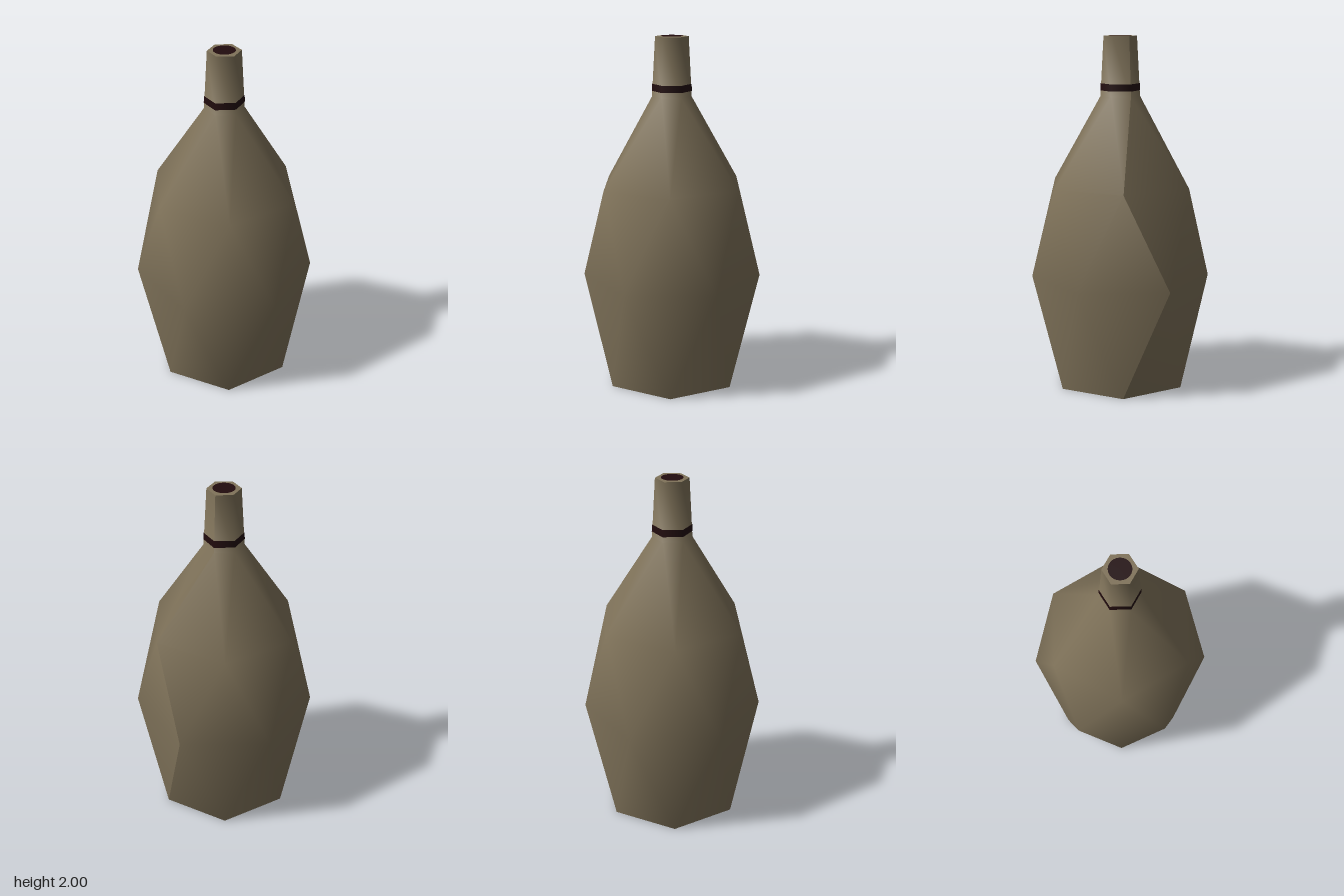
import * as THREE from 'three';

const SIDES = 6;

// Rings of the bottle from base to lip: height, radius, angle of the first corner.
// Corners of neighbouring body rings are offset by half a side.
const RINGS = [
  { y: 0, r: 0.39, turn: 30 },
  { y: 0.62, r: 0.51, turn: 60 },
  { y: 1.16, r: 0.433, turn: 30 },
  { y: 1.66, r: 0.112, turn: 60 },
  { y: 1.998, r: 0.094, turn: 60 },
];

// Faceted shell with smooth normals and one open seam
function shellGeometry() {
  const positions = [];
  const index = [];
  for (const { y, r, turn } of RINGS) {
    for (let j = 0; j <= SIDES; j++) {
      const a = THREE.MathUtils.degToRad(turn + (j * 360) / SIDES);
      positions.push(r * Math.cos(a), y, -r * Math.sin(a));
    }
  }
  const row = SIDES + 1;
  for (let i = 0; i < RINGS.length - 1; i++) {
    const leansForward = RINGS[i + 1].turn >= RINGS[i].turn;
    for (let j = 0; j < SIDES; j++) {
      const a = i * row + j, b = a + 1, c = a + row, d = c + 1;
      // always split along the shorter diagonal
      if (leansForward) index.push(a, b, c, b, d, c);
      else index.push(a, b, d, a, d, c);
    }
  }
  const geometry = new THREE.BufferGeometry();
  geometry.setAttribute('position', new THREE.Float32BufferAttribute(positions, 3));
  geometry.setIndex(index);
  geometry.computeVertexNormals();
  return geometry;
}

export function createModel() {
  const group = new THREE.Group();
  group.name = 'bottle';

  const clay = new THREE.MeshStandardMaterial({ color: 0x80735a });
  clay.name = 'clay';
  const darkRed = new THREE.MeshStandardMaterial({ color: 0x220c0e });
  darkRed.name = 'dark red';

  const add = (name, geometry, material, y = 0) => {
    const mesh = new THREE.Mesh(geometry, material);
    mesh.name = name;
    mesh.position.y = y;
    group.add(mesh);
  };

  // Body and neck
  add('body', shellGeometry(), clay);

  // Flat base and lip
  const lip = RINGS[RINGS.length - 1];
  add('base', new THREE.CircleGeometry(RINGS[0].r, SIDES, Math.PI / 2).rotateX(Math.PI / 2), clay);
  add('lip', new THREE.CircleGeometry(lip.r, SIDES).rotateX(-Math.PI / 2), clay, lip.y);

  // Dark opening
  add('opening', new THREE.CircleGeometry(0.062, 24).rotateX(-Math.PI / 2), darkRed, 2);

  // Band around the foot of the neck
  add('neckBand', new THREE.CylinderGeometry(0.111, 0.113, 0.04, SIDES, 1, true, Math.PI / 2), darkRed, 1.712);

  return group;
}
